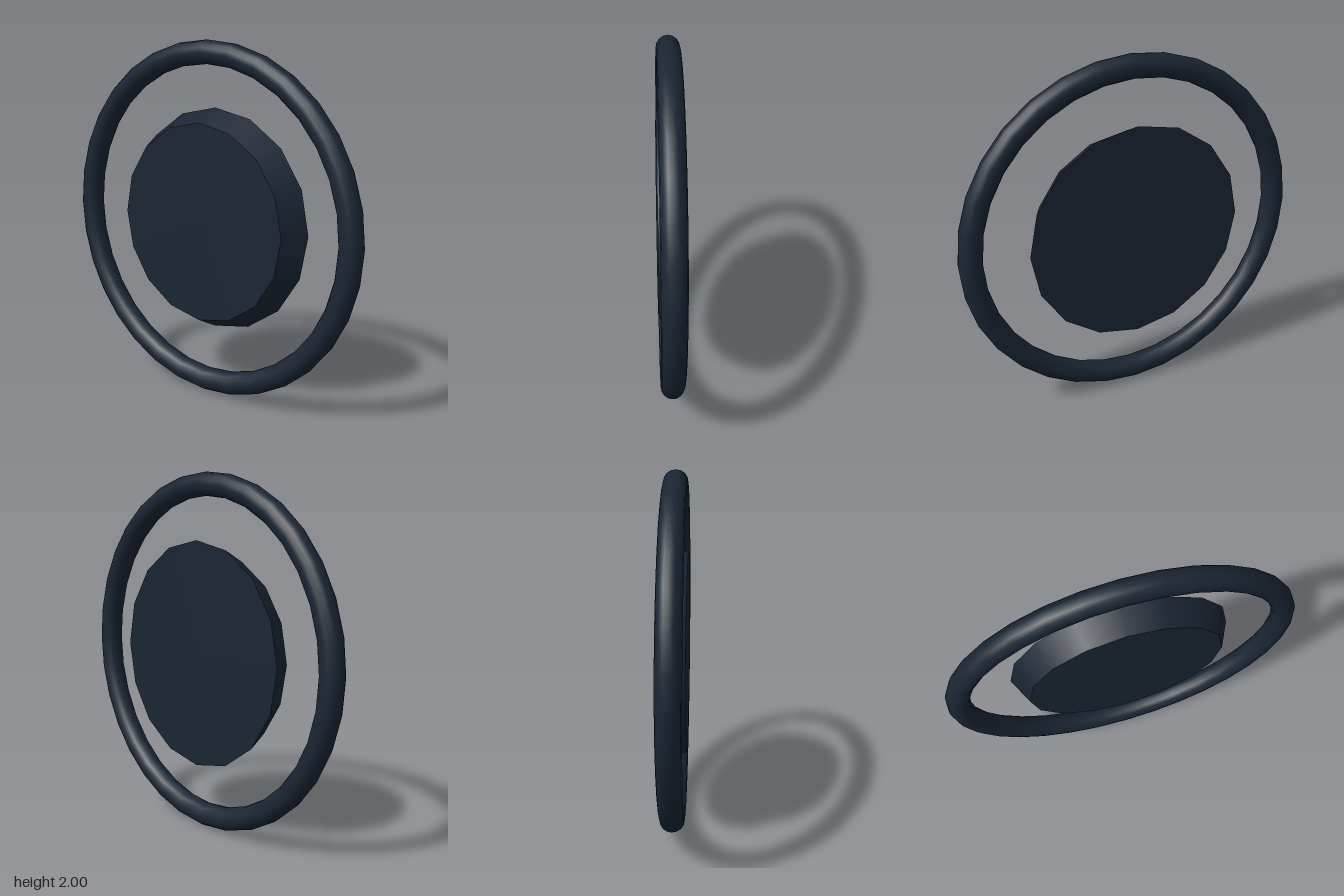
import * as THREE from 'three';

export function createModel() {
  const group = new THREE.Group();
  const material = new THREE.MeshStandardMaterial({ color: 0x1a2533 });

  // Round outer rim
  const tube = 0.065;
  const rim = new THREE.Mesh(new THREE.TorusGeometry(1 - tube, tube, 16, 32), material);
  rim.name = 'outerRing';

  // Tapered 16-sided disc, narrower at the front
  const hubGeometry = new THREE.CylinderGeometry(0.56, 0.632, 0.142, 16);
  hubGeometry.rotateX(Math.PI / 2);
  const hub = new THREE.Mesh(hubGeometry, material);
  hub.name = 'centreDisc';

  for (const part of [rim, hub]) {
    part.position.y = 1;
    group.add(part);
  }
  return group;
}
